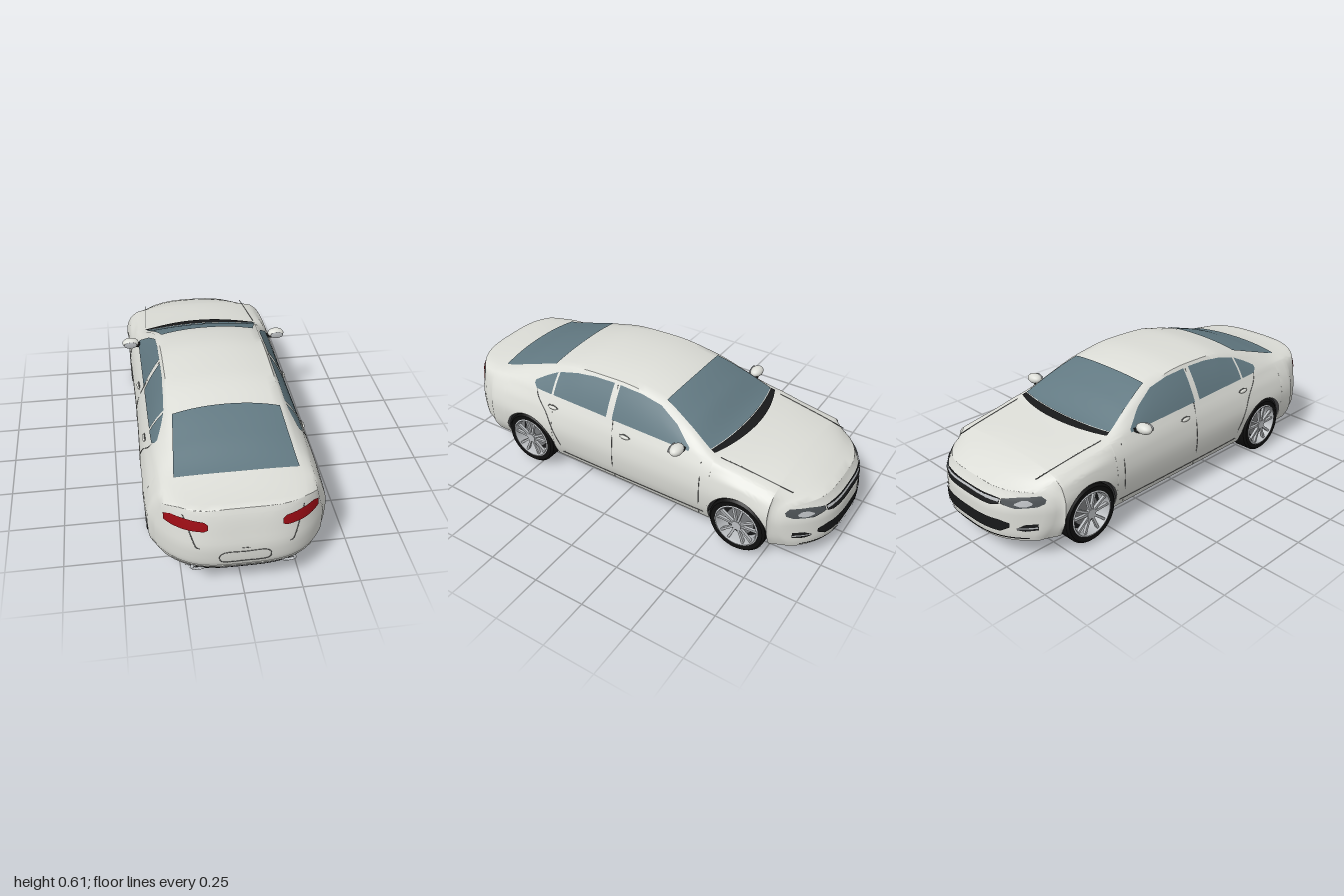
import * as THREE from 'three';
import { mergeGeometries, toCreasedNormals } from 'three/addons/utils/BufferGeometryUtils.js';

const mat = (name, color, side = THREE.DoubleSide) => new THREE.MeshStandardMaterial({ name, color, side });
const M = {
  paint: mat('paint', 0xdcddd7), glass: mat('glass', 0x627982), red: mat('tail lamp red', 0x9a0c14),
  rubber: mat('rubber', 0x0e0e0e), alloy: mat('alloy', 0xb9bcbf), trim: mat('black trim', 0x18191a),
  lamp: mat('head lamp', 0x4a4f52), floor: mat('underbody', 0x2c2c2d), steel: mat('steel', 0x77797b), seam: mat('seam', 0x6a6b69),
};
const WHEELS = [0.54, -0.635], AXLE = 0.138, ARCH = 0.15;
const lerp = THREE.MathUtils.lerp;

// Monotone cubic through rows [key, v0, v1...]
function track(rows) {
  return (k, c = 1) => {
    const n = rows.length - 1;
    k = Math.min(Math.max(k, rows[0][0]), rows[n][0]);
    let i = 0;
    while (i < n - 1 && k > rows[i + 1][0]) i++;
    const sec = j => (rows[j + 1][c] - rows[j][c]) / (rows[j + 1][0] - rows[j][0]);
    const slope = j => {
      if (j === 0) return sec(0);
      if (j === n) return sec(n - 1);
      const a = sec(j - 1), b = sec(j);
      return a * b <= 0 ? 0 : 2 * a * b / (a + b);
    };
    const h = rows[i + 1][0] - rows[i][0], t = (k - rows[i][0]) / h, t2 = t * t, t3 = t2 * t;
    return (2 * t3 - 3 * t2 + 1) * rows[i][c] + (t3 - 2 * t2 + t) * h * slope(i)
      + (3 * t2 - 2 * t3) * rows[i + 1][c] + (t3 - t2) * h * slope(i + 1);
  };
}

// Feature lines along the car: [z, x, y]
const sill = track([[-1, .31, .085], [-.8, .345, .085], [0, .345, .09], [.8, .34, .09], [1, .315, .11]]);
const lower = track([[-1, .34, .16], [-.8, .375, .16], [0, .37, .16], [.8, .375, .16], [1, .35, .17]]);
const widest = track([[-1, .35, .22], [-.75, .385, .25], [0, .379, .25], [.6, .388, .26], [.8, .38, .26], [1, .35, .26]]);
const shoulder = track([[-1, .338, .275], [-.85, .36, .305], [-.6, .37, .335], [0, .364, .345], [.55, .37, .345], [.8, .36, .345], [1, .33, .345]]);
const belt = track([[-1, .31, .3], [-.85, .325, .338], [-.6, .335, .375], [-.45, .338, .4], [0, .336, .412], [.5, .335, .422], [.75, .32, .42], [1, .315, .405]]);
const edge = track([[-1, .26, .308], [-.85, .28, .348], [-.6, .295, .392], [-.48, .302, .411], [-.32, .272, .488], [-.17, .25, .548],
  [.05, .245, .578], [.25, .245, .572], [.43, .25, .535], [.6, .262, .482], [.77, .272, .437], [.95, .262, .428], [1, .255, .426]]);
const crown = track([[-1, .315], [-.88, .36], [-.72, .395], [-.55, .415], [-.47, .427], [-.32, .513], [-.155, .578],
  [.03, .602], [.25, .595], [.43, .56], [.6, .512], [.77, .457], [.95, .437], [1, .435]]);
const rearLean = track([[.08, .06], [.12, .04], [.17, .005], [.25, 0], [.32, .012], [.4, .03], [.44, .045]]);
const noseLean = track([[.08, .01], [.12, 0], [.22, 0], [.27, .015], [.3, .032], [.32, .04]]);

// Rounds nose and tail in plan and leans their faces
function bend(s, x, y) {
  const g = Math.max(0, (Math.abs(s) - .78) / .22), a = Math.abs(x) / .36;
  return s > 0 ? s - g * (.17 * a ** 3.5 + rearLean(y)) : s + g * (.19 * a ** 3 + noseLean(y));
}
function topY(x, z) {
  const t = 1 - Math.min(1, Math.abs(x) / edge(z));
  return lerp(edge(z, 2), crown(z), 1 - (1 - t) ** 2.2);
}
// Half section [x, y] from the sill or wheel arch up to the centre line
function section(z) {
  const side = track([sill, lower, widest, shoulder, belt].map(f => [f(z, 2), f(z)]));
  let y0 = sill(z, 2);
  for (const c of WHEELS) if (Math.abs(z - c) <= ARCH) y0 = Math.max(y0, AXLE + Math.sqrt(ARCH ** 2 - (z - c) ** 2));
  const out = [];
  for (let i = 0; i <= 12; i++) { const y = lerp(y0, belt(z, 2), i / 12); out.push([side(y), y]); }
  for (let i = 1; i <= 5; i++) {
    const t = i / 5;
    out.push([lerp(belt(z), edge(z), t) + .007 * Math.sin(Math.PI * t), lerp(belt(z, 2), edge(z, 2), t)]);
  }
  for (let i = 1; i <= 6; i++) { const x = edge(z) * (1 - i / 6); out.push([x, topY(x, z)]); }
  return out;
}
function sideX(y, z) {
  const p = section(z);
  let i = 0;
  while (i < 16 && p[i + 1][1] < y) i++;
  return lerp(p[i][0], p[i + 1][0], (y - p[i][1]) / (p[i + 1][1] - p[i][1]));
}
// Surface from rows of points
function grid(rows, flip = false) {
  const n = rows[0].length, idx = [];
  for (let i = 0; i < rows.length - 1; i++) for (let j = 0; j < n - 1; j++) {
    const a = i * n + j, b = a + 1, c = b + n, d = a + n;
    idx.push(...(flip ? [a, c, b, a, d, c] : [a, b, c, a, c, d]));
  }
  const g = new THREE.BufferGeometry();
  g.setAttribute('position', new THREE.Float32BufferAttribute(rows.flat(2), 3));
  g.setIndex(idx);
  g.computeVertexNormals();
  return g;
}
const span = (n, f) => Array.from({ length: n + 1 }, (_, i) => f(i / n));
// Refines rows [key, low, high] into n steps
const refine = (rows, n) => span(n, t => {
  const k = t * (rows.length - 1), i = Math.min(Math.floor(k), rows.length - 2);
  return rows[i].map((v, c) => lerp(v, rows[i + 1][c], k - i));
});

export function createModel() {
  const car = new THREE.Group();
  car.name = 'car';
  const add = (name, geo, m, parent = car) => {
    const mesh = new THREE.Mesh(geo, m);
    mesh.name = name;
    parent.add(mesh);
    return mesh;
  };
  // Thin panels lying on the side, the top and the end faces
  const sidePanel = (name, m, rows) => [1, -1].forEach(s => add(name, grid(refine(rows, 24).map(([z, a, b]) =>
    span(6, t => { const y = lerp(a, b, t); return [s * (sideX(y, z) + .004), y, z]; })), s < 0), m));
  const topPanel = (name, m, z0, w0, bow0, z1, w1, bow1) => add(name, grid(span(16, t => span(20, v => {
    const u = 1 - 2 * v, x = u * lerp(w0, w1, t), z = lerp(z0 + bow0 * (1 - u * u), z1 + bow1 * (1 - u * u), t);
    return [x, topY(x, z) + .005, z];
  }))), m);
  const endPoint = (end, x, y, lift = .005) => [x, y, bend(end, x, y) + end * lift];
  const endPanel = (name, m, end, rows, lift) => {
    const cols = refine(rows, 30);
    return add(name, grid(span(5, t => cols.map(([x, a, b]) => endPoint(end, x, lerp(a, b, t), lift))), end < 0), m);
  };
  const endPair = (name, m, end, rows, lift) => {
    endPanel(name, m, end, rows, lift);
    endPanel(name, m, end, rows.map(([x, a, b]) => [-x, a, b]).reverse(), lift);
  };
  const line = (name, pts, m = M.seam, r = .002, closed = false) => add(name, new THREE.TubeGeometry(
    new THREE.CatmullRomCurve3(pts.map(p => new THREE.Vector3(...p)), closed), 60, r, 6, closed), m);

  // Body shell with open wheel arches and rounded end faces
  const stations = [...span(50, t => -1 + 2 * t).filter(z => WHEELS.every(c => Math.abs(z - c) > ARCH + .004)),
    ...WHEELS.flatMap(c => [c - ARCH - .0005, c + ARCH + .0005, ...span(24, t => c - .1499 * Math.cos(Math.PI * t))])].sort((a, b) => a - b);
  const shell = grid(stations.map(s => {
    const half = section(s).map(([x, y]) => [x, y, bend(s, x, y)]);
    return [...half, ...half.slice(0, -1).reverse().map(([x, y, z]) => [-x, y, z])];
  }));
  const cap = end => grid(section(end).map(([x, y]) => span(36, t => {
    const px = x * (2 * t - 1);
    return [px, y, bend(end, px, y)];
  })), end < 0);
  add('bodyShell', toCreasedNormals(mergeGeometries([shell, cap(1), cap(-1)]), .75), M.paint);
  // Floor pan, narrowed between the wheels
  add('floorPan', grid(stations.map(s => {
    const w = WHEELS.some(c => Math.abs(s - c) <= ARCH) ? .22 : sill(s), y = sill(s, 2) + .006;
    return span(12, t => { const x = w * (2 * t - 1); return [x, y, bend(s, x, y)]; });
  })), M.floor);

  // Glass
  topPanel('windscreen', M.glass, -.445, .29, -.035, -.18, .228, -.012);
  topPanel('wiperTray', M.trim, -.468, .295, -.06, -.448, .29, -.035);
  topPanel('rearWindow', M.glass, .45, .236, -.01, .755, .262, .015);
  sidePanel('frontDoorWindow', M.glass, [[-.36, .412, .424], [-.27, .413, .49], [-.17, .415, .54], [-.06, .417, .56], [.055, .419, .566]]);
  sidePanel('rearDoorWindow', M.glass, [[.088, .421, .566], [.2, .424, .562], [.3, .426, .549], [.4, .428, .524]]);
  sidePanel('quarterWindow', M.glass, [[.412, .428, .52], [.47, .429, .492], [.505, .431, .472], [.525, .447, .46]]);

  // Shut lines and door handles
  for (const s of [1, -1]) {
    const side = (name, pts) => line(name, pts.map(([z, y]) => [s * sideX(y, z), y, z]));
    side('doorGap', [[.07, .56], [.05, .42], [.035, .3], [.035, .2], [.04, .1]]);
    side('rearDoorEdge', [[.51, .44], [.49, .4], [.43, .34], [.39, .27], [.36, .2], [.33, .12]]);
    side('frontDoorEdge', [[-.43, .39], [-.44, .3], [-.44, .2], [-.43, .1]]);
    side('sillLine', [[-.46, .125], [-.2, .12], [.1, .12], [.35, .125]]);
    line('bonnetEdge', span(12, t => { const z = lerp(-.5, -.84, t), x = .97 * edge(z); return [s * x, topY(x, z), z]; }));
    line('bootEdge', [[.245, .4], [.225, .34], [.205, .28], [.195, .262], [0, .258]].map(([x, y]) => endPoint(1, s * x, y, 0)));
    for (const [z, y] of [[.39, .374], [-.03, .366]]) {
      const h = add('doorHandle', new THREE.SphereGeometry(1, 16, 10), M.paint);
      h.scale.set(.009, .01, .026);
      h.position.set(s * (sideX(y, z) + .003), y, z);
      const cup = add('handleRecess', new THREE.SphereGeometry(1, 16, 10), M.seam);
      cup.scale.set(.004, .013, .03);
      cup.position.set(s * sideX(y, z), y, z);
    }
    // Door mirror
    const shellM = add('mirrorShell', new THREE.SphereGeometry(1, 20, 14).scale(.042, .024, .03), M.paint);
    shellM.position.set(s * .379, .433, -.325);
    const face = add('mirrorGlass', new THREE.SphereGeometry(1, 20, 10).scale(.033, .018, .004), M.alloy);
    face.position.set(s * .38, .433, -.298);
    add('mirrorStalk', new THREE.BoxGeometry(.05, .014, .025), M.trim).position.set(s * .34, .416, -.33);
  }

  // Rear: lamps, plate recess, lower valance and exhaust tips
  endPair('tailLamp', M.red, 1, [[.15, .352, .374], [.165, .343, .386], [.24, .34, .39], [.29, .34, .388], [.318, .343, .372]]);
  line('plateRecess', [[-.1, .19], [-.105, .22], [-.085, .237], [0, .238], [.085, .237], [.105, .22], [.1, .19], [.08, .184], [0, .184], [-.08, .184]]
    .map(([x, y]) => endPoint(1, x, y, 0)), M.seam, .002, true);
  line('bumperCrease', span(14, t => endPoint(1, lerp(-.29, .29, t), .158, 0)), M.paint, .004);
  endPanel('rearValance', M.floor, 1, [[-.24, .111, .114], [-.15, .111, .122], [.15, .111, .122], [.24, .111, .114]]);
  endPair('exhaustSurround', M.trim, 1, [[.148, .122, .132], [.165, .113, .147], [.21, .113, .147], [.228, .122, .132]]);
  for (const s of [1, -1]) {
    const tip = add('exhaustTip', new THREE.TorusGeometry(.017, .005, 8, 24).scale(1.6, .7, 1.6), M.alloy);
    tip.position.set(...endPoint(1, s * .188, .13));
  }

  // Nose: lamps, grille, intake and fog slots
  endPair('headLamp', M.lamp, -1, [[.19, .256, .276], [.25, .243, .288], [.315, .25, .293], [.332, .262, .278]]);
  endPair('lampReflector', M.alloy, -1, [[.245, .258, .264], [.265, .252, .277], [.285, .252, .277], [.3, .26, .268]], .008);
  endPanel('grille', M.trim, -1, [[-.185, .252, .276], [-.15, .243, .279], [.15, .243, .279], [.185, .252, .276]]);
  endPanel('grilleBar', M.alloy, -1, [[-.185, .263, .275], [0, .266, .278], [.185, .263, .275]], .009);
  endPanel('lowerIntake', M.trim, -1, [[-.23, .152, .172], [-.19, .127, .182], [.19, .127, .182], [.23, .152, .172]]);
  endPair('fogSlot', M.trim, -1, [[.255, .142, .15], [.28, .136, .168], [.318, .142, .172]]);
  endPair('fogTrim', M.alloy, -1, [[.255, .148, .152], [.318, .15, .157]], .008);
  endPanel('chinSplitter', M.trim, -1, [[-.29, .098, .104], [0, .1, .108], [.29, .098, .104]]);

  // Wheels and arch liners
  const tyre = new THREE.LatheGeometry([[.1, -.05], [.128, -.05], [.138, -.04], [.138, .04], [.128, .05], [.105, .048], [.1, .03]]
    .map(p => new THREE.Vector2(...p)), 48).rotateZ(-Math.PI / 2);
  const rim = new THREE.LatheGeometry([[.098, -.045], [.098, .03], [.107, .049], [.101, .052], [.093, .036], [.09, -.045]]
    .map(p => new THREE.Vector2(...p)), 48).rotateZ(-Math.PI / 2);
  const disc = (r, w, x) => new THREE.CylinderGeometry(r, r, w, 32).rotateZ(Math.PI / 2).translate(x, 0, 0);
  const spokes = mergeGeometries(span(9, t => new THREE.BoxGeometry(.014, .082, .011).translate(.038, .056, 0)
    .rotateX(Math.floor(t * 9 / 2 + .01) * Math.PI * .4 + (Math.round(t * 9) % 2 ? .24 : -.24))));
  for (const z of WHEELS) for (const s of [1, -1]) {
    const wheel = new THREE.Group();
    wheel.name = 'wheel';
    wheel.position.set(s * .329, AXLE, z);
    wheel.rotation.y = s > 0 ? 0 : Math.PI;
    car.add(wheel);
    add('tyre', toCreasedNormals(tyre, .7), M.rubber, wheel);
    add('rim', toCreasedNormals(rim, .6), M.alloy, wheel);
    add('spokes', spokes, M.alloy, wheel);
    add('hub', disc(.023, .02, .038), M.alloy, wheel);
    add('brakeDisc', disc(.068, .01, .005), M.steel, wheel);
    add('wheelBack', disc(.097, .01, -.015), M.trim, wheel);
    add('archLiner', new THREE.CylinderGeometry(ARCH, ARCH, .144, 32, 1, true, 0, Math.PI).rotateZ(Math.PI / 2), M.floor)
      .position.set(s * .292, AXLE, z);
    add('archWall', new THREE.CircleGeometry(ARCH, 32).rotateY(s * Math.PI / 2), M.floor).position.set(s * .22, AXLE, z);
  }

  // Axles and exhaust system under the floor
  for (const z of WHEELS) add('axle', disc(.014, .58, 0), M.steel).position.set(0, .115, z);
  for (const s of [1, -1]) {
    line('exhaustPipe', [[s * .02, .09, -.42], [s * .02, .09, 0], [s * .02, .09, .6], [s * .03, .095, .74], [s * .14, .1, .82], [s * .18, .12, .93]], M.steel, .012);
    add('silencer', new THREE.CapsuleGeometry(.026, .1, 6, 16).rotateZ(Math.PI / 2), M.steel).position.set(s * .15, .107, .8);
    add('suspensionArm', new THREE.BoxGeometry(.02, .016, .2), M.steel).position.set(s * .17, .094, .47);
  }
  return car;
}
